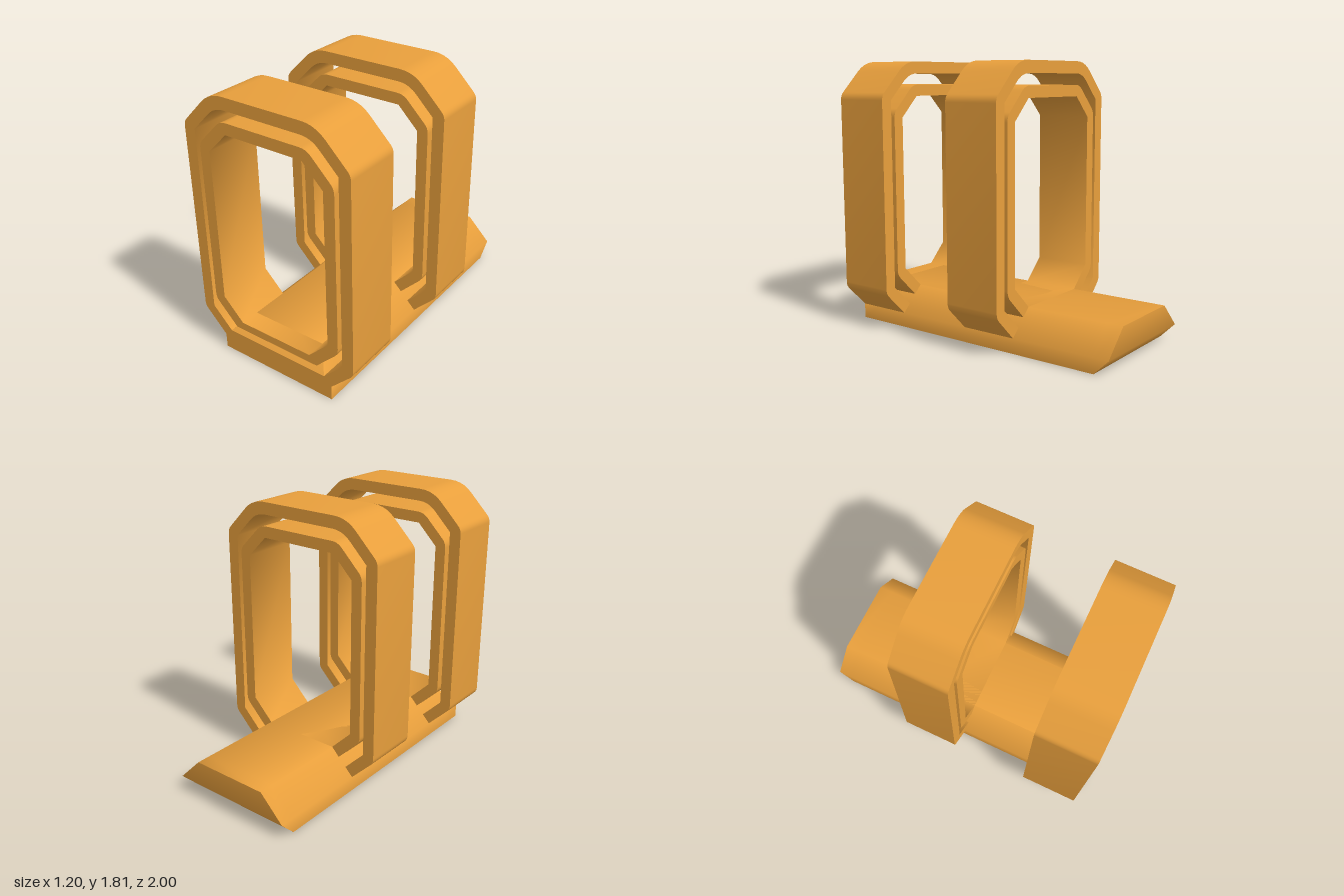
import * as THREE from 'three';
import { toCreasedNormals } from 'three/addons/utils/BufferGeometryUtils.js';

const CREASE = 0.8; // smooth across 45 degree bends, sharp at right angles

// Appends straight runs with rounded corners; each point is [x, y, setback]
function tracePath(path, points) {
  const n = points.length;
  const toward = (a, b, d) => {
    const p = new THREE.Vector2(a[0], a[1]);
    const dir = new THREE.Vector2(b[0], b[1]).sub(p).normalize();
    return p.addScaledVector(dir, d);
  };
  points.forEach((p, i) => {
    const r = p[2] || 0;
    if (!r) {
      if (i === 0) path.moveTo(p[0], p[1]);
      else path.lineTo(p[0], p[1]);
      return;
    }
    const a = toward(p, points[(i + n - 1) % n], r);
    const b = toward(p, points[(i + 1) % n], r);
    path.lineTo(a.x, a.y);
    path.quadraticCurveTo(p[0], p[1], b.x, b.y);
  });
  path.closePath();
  return path;
}

// Continues a right-hand half over to the left
const mirrored = (half) => [...half, ...half.map(([x, y, r]) => [-x, y, r]).reverse()];

function extrudeBand(shape) {
  const geo = new THREE.ExtrudeGeometry(shape, { depth: 0.39, bevelEnabled: false, curveSegments: 5 });
  return toCreasedNormals(geo, CREASE);
}

// Outer band: open at the bottom, its feet resting on the base's slopes
function outerBandGeometry() {
  const outside = mirrored([[0.435, 0.1], [0.6, 0.265, 0.03], [0.6, 1.585, 0.03], [0.375, 1.81, 0.095]]);
  const inside = mirrored([[0.38, 0.155], [0.52, 0.295], [0.52, 1.555], [0.345, 1.73, 0.075]]);
  return extrudeBand(tracePath(new THREE.Shape(), [...outside, ...inside.reverse()]));
}

// Inner band: a closed ring sunk into the top of the base
function innerBandGeometry() {
  const shape = tracePath(new THREE.Shape(),
    mirrored([[0.325, 0.21], [0.49, 0.375, 0.035], [0.49, 1.475, 0.035], [0.31, 1.655, 0.045]]));
  shape.holes.push(tracePath(new THREE.Path(),
    mirrored([[0.27, 0.265], [0.415, 0.41], [0.415, 1.44], [0.275, 1.58]])));
  return extrudeBand(shape);
}

// Base: six-cornered sections joined along z, [z, bottom, top]
function baseGeometry() {
  const sections = [[1, 0, 0.155], [0.87, 0, 0.265], [-0.9, 0, 0.265], [-1, 0.1, 0.265]];
  const rings = sections.map(([z, bottom, top]) =>
    mirrored([[0.435, bottom], [0.435, 0.1], [0.535 - top, top]])
      .map(([x, y]) => new THREE.Vector3(x, y, z)));
  const pos = [];
  const tri = (a, b, c) => {
    const area = b.clone().sub(a).cross(c.clone().sub(a)).length();
    if (area > 1e-7) for (const p of [a, b, c]) pos.push(p.x, p.y, p.z);
  };
  for (let s = 0; s < rings.length - 1; s++) {
    const f = rings[s], k = rings[s + 1];
    for (let i = 0; i < 6; i++) {
      const j = (i + 1) % 6;
      tri(f[i], k[i], k[j]);
      tri(f[i], k[j], f[j]);
    }
  }
  const front = rings[0], back = rings[rings.length - 1];
  for (let i = 1; i < 5; i++) {
    tri(front[0], front[i], front[i + 1]);
    tri(back[0], back[i + 1], back[i]);
  }
  const geo = new THREE.BufferGeometry();
  geo.setAttribute('position', new THREE.Float32BufferAttribute(pos, 3));
  return toCreasedNormals(geo, CREASE);
}

export function createModel() {
  const model = new THREE.Group();
  model.name = 'doubleLoopMount';
  const material = new THREE.MeshStandardMaterial({ color: 0xe89f3c });

  const add = (geo, name, z = 0) => {
    const mesh = new THREE.Mesh(geo, material);
    mesh.name = name;
    mesh.position.z = z;
    model.add(mesh);
  };

  add(baseGeometry(), 'base');

  // Front and rear pairs of bands
  const outer = outerBandGeometry();
  const inner = innerBandGeometry();
  for (const [prefix, z] of [['front', 0.61], ['rear', -0.32]]) {
    add(outer, prefix + 'OuterBand', z);
    add(inner, prefix + 'InnerBand', z);
  }
  return model;
}
